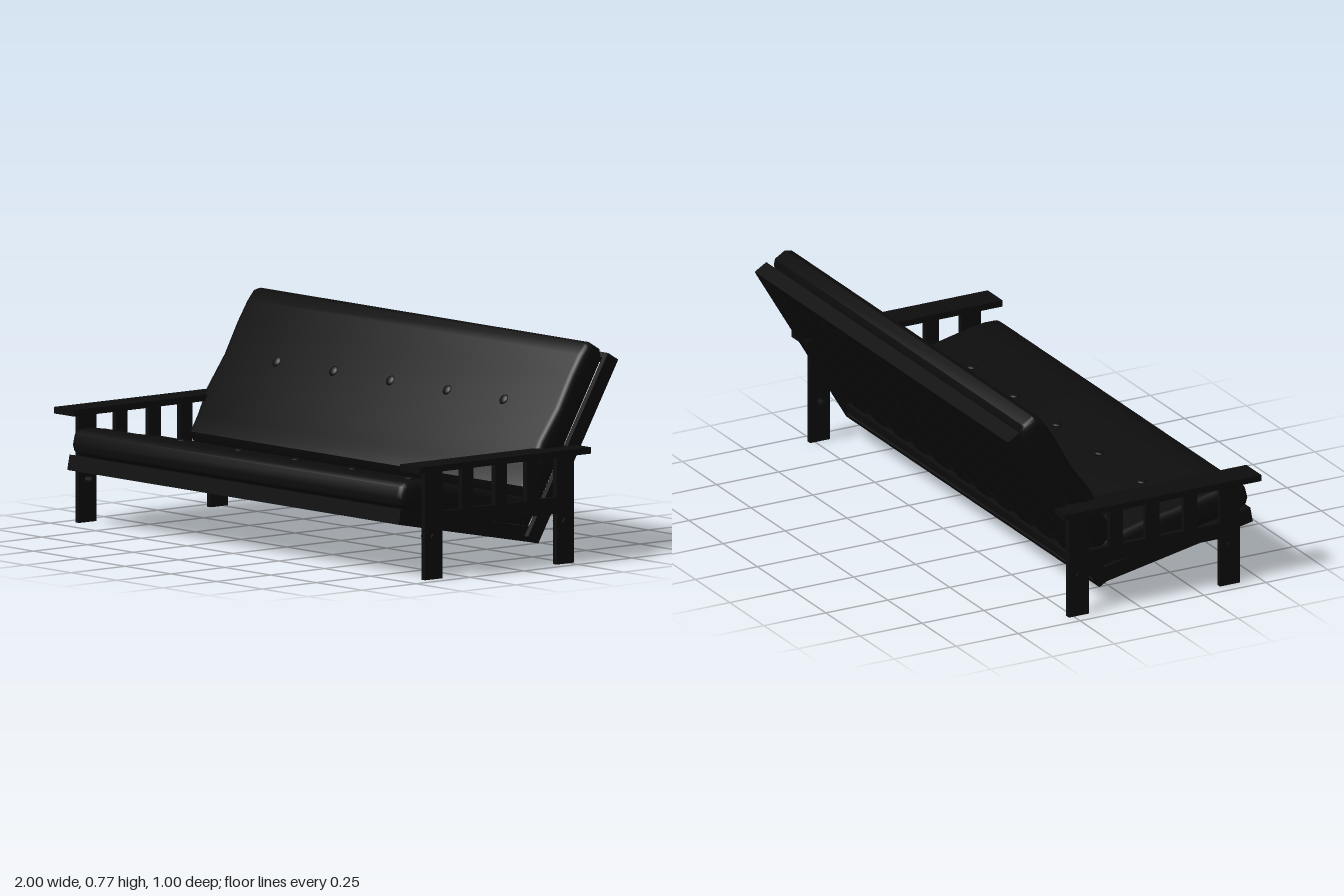
import * as THREE from 'three';
import { toCreasedNormals } from 'three/addons/utils/BufferGeometryUtils.js';

export function createModel() {
  const model = new THREE.Group();
  model.name = 'futonSofa';
  const black = new THREE.MeshStandardMaterial({ name: 'black', color: 0x0d0d0d });

  const add = (parent, name, geometry, x = 0, y = 0, z = 0) => {
    const mesh = new THREE.Mesh(geometry, black);
    mesh.name = name;
    mesh.position.set(x, y, z);
    parent.add(mesh);
    return mesh;
  };
  // Box given by its limits on each axis
  const box = (parent, name, [x0, x1], [y0, y1], [z0, z1]) =>
    add(parent, name, new THREE.BoxGeometry(x1 - x0, y1 - y0, z1 - z0),
      (x0 + x1) / 2, (y0 + y1) / 2, (z0 + z1) / 2);

  // Slatted frame: starts at the origin, runs along local -z
  const slattedFrame = (name, y, z, angle, length, half) => {
    const g = new THREE.Group();
    g.name = name;
    g.position.set(0, y, z);
    g.rotation.x = angle;
    const depth = 0.055, t = 0.02;
    box(g, 'endRail', [-half, half], [0, depth], [-t, 0]);
    box(g, 'endRail', [-half, half], [0, depth], [-length, t - length]);
    for (const s of [-1, 1]) {
      const x = s * (half - t / 2);
      box(g, 'sideRail', [x - t / 2, x + t / 2], [0, depth], [t - length, -t]);
    }
    const count = 12, pitch = (2 * half - 2 * t) / count;
    for (let i = 0; i < count; i++) {
      const x = (i - (count - 1) / 2) * pitch;
      box(g, 'slat', [x - pitch * 0.27, x + pitch * 0.27], [0.03, 0.045], [t - length, -t]);
    }
    model.add(g);
  };
  slattedFrame('seatFrame', 0.2, 0.5, -0.191, 0.642, 0.905);
  slattedFrame('backFrame', 0.078, -0.13, 1.034, 0.724, 0.925);

  // Cushion: side profile in (z, y), extruded across x with softened ends
  const cushion = (name, profile, half) => {
    const bevel = 0.025;
    const shape = new THREE.Shape(profile.map(([z, y]) => new THREE.Vector2(-z, y)));
    const geo = new THREE.ExtrudeGeometry(shape, {
      depth: 2 * (half - bevel), bevelThickness: bevel, bevelSize: 0.025,
      bevelOffset: -0.025, bevelSegments: 3,
    });
    geo.translate(0, 0, bevel - half);
    geo.rotateY(Math.PI / 2);
    add(model, name, toCreasedNormals(geo, 0.7));
  };
  cushion('seatCushion', [
    [0.43, 0.243], [0.48, 0.265], [0.488, 0.29], [0.478, 0.33], [0.458, 0.345],
    [0.41, 0.346], [0.34, 0.335], [0.2, 0.304], [0.08, 0.285], [-0.05, 0.25],
    [-0.11, 0.24], [-0.14, 0.2], [-0.105, 0.14],
  ], 0.905);
  cushion('backCushion', [
    [-0.14, 0.2], [-0.085, 0.245], [-0.07, 0.285], [-0.105, 0.345], [-0.15, 0.44],
    [-0.23, 0.55], [-0.29, 0.66], [-0.335, 0.73], [-0.365, 0.765], [-0.388, 0.77],
    [-0.43, 0.745], [-0.436, 0.72], [-0.425, 0.685],
  ], 0.92);

  // Tufting buttons: two rows on the seat, one on the back
  const button = new THREE.SphereGeometry(0.02, 14, 8);
  button.scale(1, 0.4, 1);
  for (const [y, z, tilt] of [[0.307, 0.21, 0], [0.251, -0.05, 0], [0.55, -0.229, 1.034]]) {
    for (let i = -2; i <= 2; i++) {
      add(model, 'button', button, i * 0.31, y, z).rotation.x = tilt;
    }
  }

  // Arms, each with two legs, a lower rail, three slats and bolts
  for (const s of [-1, 1]) {
    const side = new THREE.Group();
    side.name = s > 0 ? 'leftArm' : 'rightArm';
    const span = (a, b) => (s > 0 ? [a, b] : [-b, -a]);
    const plank = span(0.935, 0.955);
    box(side, 'armrest', span(0.89, 1), [0.39, 0.413], [-0.31, 0.482]);
    box(side, 'frontLeg', plank, [0, 0.39], [0.34, 0.42]);
    box(side, 'backLeg', plank, [0, 0.39], [-0.27, -0.19]);
    box(side, 'lowerRail', plank, [0.182, 0.24], [-0.19, 0.34]);
    for (const z of [0.222, 0.068, -0.078]) {
      box(side, 'armSlat', plank, [0.24, 0.39], [z - 0.027, z + 0.027]);
    }
    for (const z of [0.38, -0.23]) {
      add(side, 'bolt', new THREE.CylinderGeometry(0.014, 0.014, 0.06, 12),
        s * 0.932, 0.15, z).rotation.z = Math.PI / 2;
    }
    model.add(side);
  }
  return model;
}
